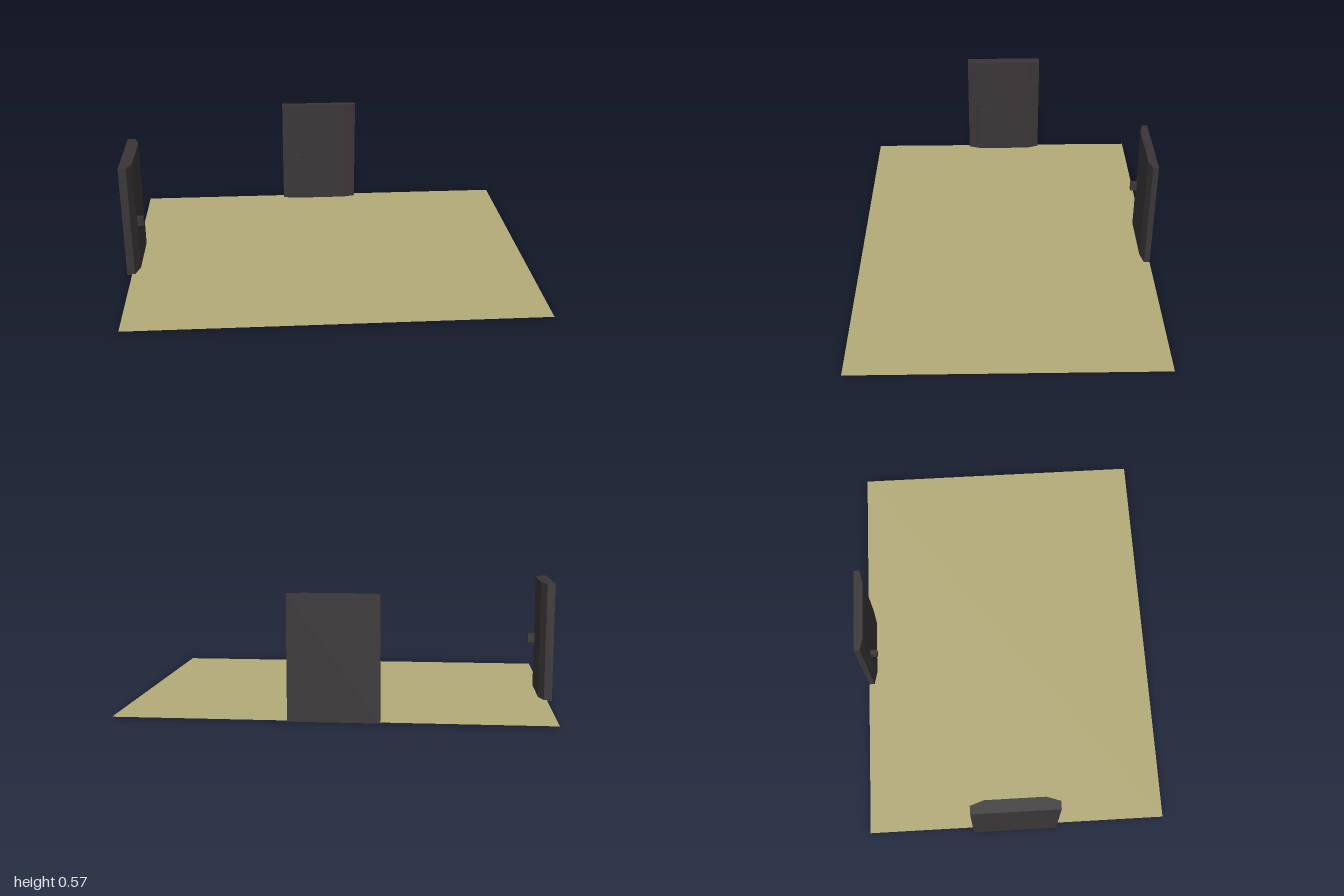
import * as THREE from 'three';

const doorMaterial = new THREE.MeshStandardMaterial({ color: 0x3a3637, flatShading: true });
const floorMaterial = new THREE.MeshStandardMaterial({ color: 0xb3ab78, side: THREE.DoubleSide });

// Door slab with bevelled inner edges and a small handle; outer face at z = 0, inner side towards +z
function createDoor(name, depth, shoulder) {
  const w = 0.205, flat = 0.14, height = 0.567;
  const door = new THREE.Group();
  door.name = name;

  const profile = new THREE.Shape([
    [-w, 0], [-w, -shoulder], [-flat, -depth], [flat, -depth], [w, -shoulder], [w, 0],
  ].map(([x, y]) => new THREE.Vector2(x, y)));
  const slabGeometry = new THREE.ExtrudeGeometry(profile, { depth: height, bevelEnabled: false });
  slabGeometry.rotateX(-Math.PI / 2);
  const slab = new THREE.Mesh(slabGeometry, doorMaterial);
  slab.name = 'doorPanel';

  const handle = new THREE.Mesh(new THREE.BoxGeometry(0.024, 0.045, 0.04), doorMaterial);
  handle.name = 'doorHandle';
  handle.position.set(-0.12, 0.257, depth + 0.012);

  door.add(slab, handle);
  return door;
}

export function createModel() {
  const model = new THREE.Group();
  model.name = 'roomFloorWithDoors';

  // Thin floor sheet, just above the door bottoms
  const floor = new THREE.Mesh(new THREE.PlaneGeometry(1.976, 1.464), floorMaterial);
  floor.name = 'floor';
  floor.rotation.x = -Math.PI / 2;
  floor.position.set(0.012, 0.005, -0.002);

  // Door on the back edge
  const backDoor = createDoor('backDoor', 0.043, 0.028);
  backDoor.position.set(0.004, 0, -0.734);

  // Door on the side edge, turned to face inwards
  const sideDoor = createDoor('sideDoor', 0.06, 0.038);
  sideDoor.rotation.y = Math.PI / 2;
  sideDoor.position.set(-1, 0, -0.014);

  model.add(floor, backDoor, sideDoor);
  return model;
}
